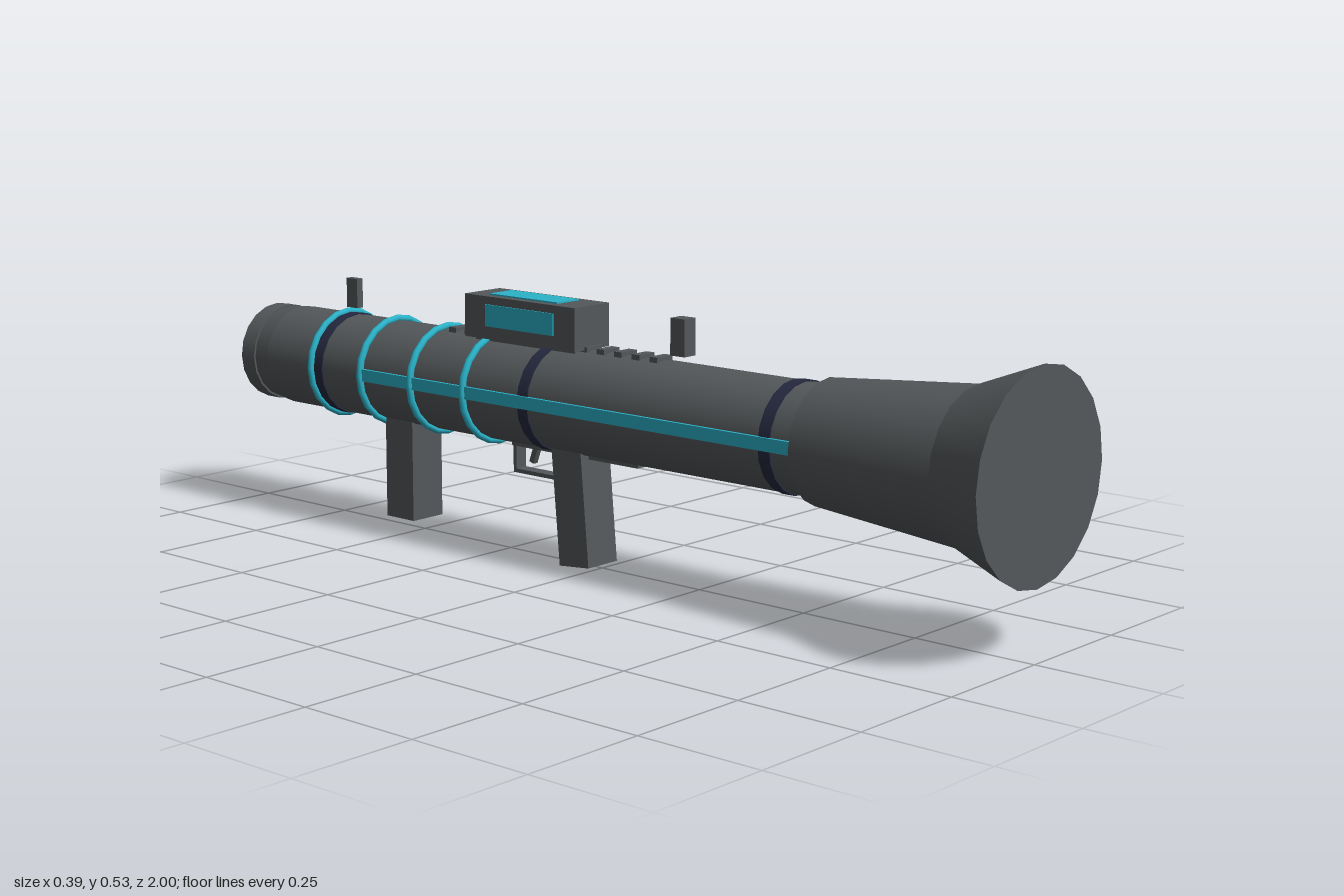
import * as THREE from 'three';

const AXIS = 0.331; // height of the tube axis
const SIDES = 20;

export function createModel() {
  const root = new THREE.Group();
  const material = (name, color) => {
    const m = new THREE.MeshStandardMaterial({ color });
    m.name = name;
    return m;
  };
  const grey = material('gunmetal grey', 0x54585a);
  const teal = material('teal', 0x2bb3c9);
  const navy = material('dark navy', 0x25293f);

  const add = (name, geometry, mat, x = 0, y = 0, z = 0) => {
    const mesh = new THREE.Mesh(geometry, mat);
    mesh.name = name;
    mesh.position.set(x, y, z);
    root.add(mesh);
    return mesh;
  };
  // Box given by its extents
  const box = (name, mat, x0, x1, y0, y1, z0, z1) =>
    add(name, new THREE.BoxGeometry(x1 - x0, y1 - y0, z1 - z0), mat,
      (x0 + x1) / 2, (y0 + y1) / 2, (z0 + z1) / 2);
  // Round section along z, from zBack (radius rBack) to zFront (radius rFront)
  const round = (name, mat, zBack, rBack, zFront, rFront) => {
    const g = new THREE.CylinderGeometry(rFront, rBack, zFront - zBack, SIDES);
    g.rotateX(Math.PI / 2);
    return add(name, g, mat, 0, AXIS, (zBack + zFront) / 2);
  };

  // Main tube, collar and flared bell
  round('mainTube', grey, -0.87, 0.105, 0.56, 0.105);
  round('tubeTaper', grey, -0.92, 0.098, -0.87, 0.105);
  round('endCollar', grey, -0.955, 0.103, -0.915, 0.103);
  round('bellThroat', grey, 0.55, 0.119, 0.87, 0.146);
  round('bellFlare', grey, 0.87, 0.146, 1, 0.196);
  round('endLens', teal, -1, 0.048, -0.955, 0.072);

  // Painted bands and raised rings
  for (const z of [0.485, -0.115, -0.707]) {
    round('darkBand', navy, z - 0.013, 0.1075, z + 0.013, 0.1075);
  }
  for (const z of [-0.277, -0.427, -0.575, -0.725]) {
    add('glowRing', new THREE.TorusGeometry(0.109, 0.0075, 8, SIDES), teal, 0, AXIS, z);
  }

  // Stripe along both flanks
  for (const s of [-1, 1]) {
    add('sideStripe', new THREE.BoxGeometry(0.009, 0.025, 1.12), teal, s * 0.105, 0.334, -0.01);
  }

  // Small fins on the right-hand flank
  for (let i = 0; i < 5; i++) {
    const z = 0.51 - i * 0.081;
    box('sideFin', grey, 0.075, 0.102, 0.368, 0.404, z - 0.008, z + 0.008);
  }

  // Ribbed top rail
  for (let i = 0; i < 13; i++) {
    const z = 0.15 - i * 0.045;
    box('railRib', grey, -0.022, 0.022, 0.425, 0.443, z - 0.01, z + 0.01);
  }

  // Sight housing with bright panels
  box('sightHousing', grey, -0.05, 0.05, 0.436, 0.522, -0.325, -0.027);
  box('sightBase', grey, -0.035, 0.035, 0.42, 0.437, -0.31, -0.04);
  box('topPanel', teal, -0.032, 0.032, 0.519, 0.525, -0.273, -0.09);
  for (const s of [-1, 1]) {
    add('sidePanel', new THREE.BoxGeometry(0.006, 0.044, 0.184), teal, s * 0.05, 0.484, -0.174);
  }

  // Iron sights
  box('rearSight', grey, -0.016, 0.016, 0.45, 0.522, 0.187, 0.222);
  box('frontSight', grey, -0.008, 0.008, 0.45, 0.512, -0.72, -0.688);

  // Grips
  const grip = add('mainGrip', new THREE.BoxGeometry(0.084, 0.245, 0.077), grey, 0, 0.127, -0.048);
  grip.rotation.x = -0.09;
  box('foreGrip', grey, -0.042, 0.042, 0.026, 0.25, -0.57, -0.491);

  // Trigger, guard and underside plate
  box('undersidePlate', grey, -0.02, 0.02, 0.221, 0.232, -0.225, 0.11);
  box('guardBottom', grey, -0.014, 0.014, 0.165, 0.173, -0.227, -0.08);
  box('guardFront', grey, -0.014, 0.014, 0.165, 0.23, -0.227, -0.219);
  const trigger = add('trigger', new THREE.BoxGeometry(0.012, 0.045, 0.012), grey, 0, 0.21, -0.178);
  trigger.rotation.x = 0.35;

  return root;
}
